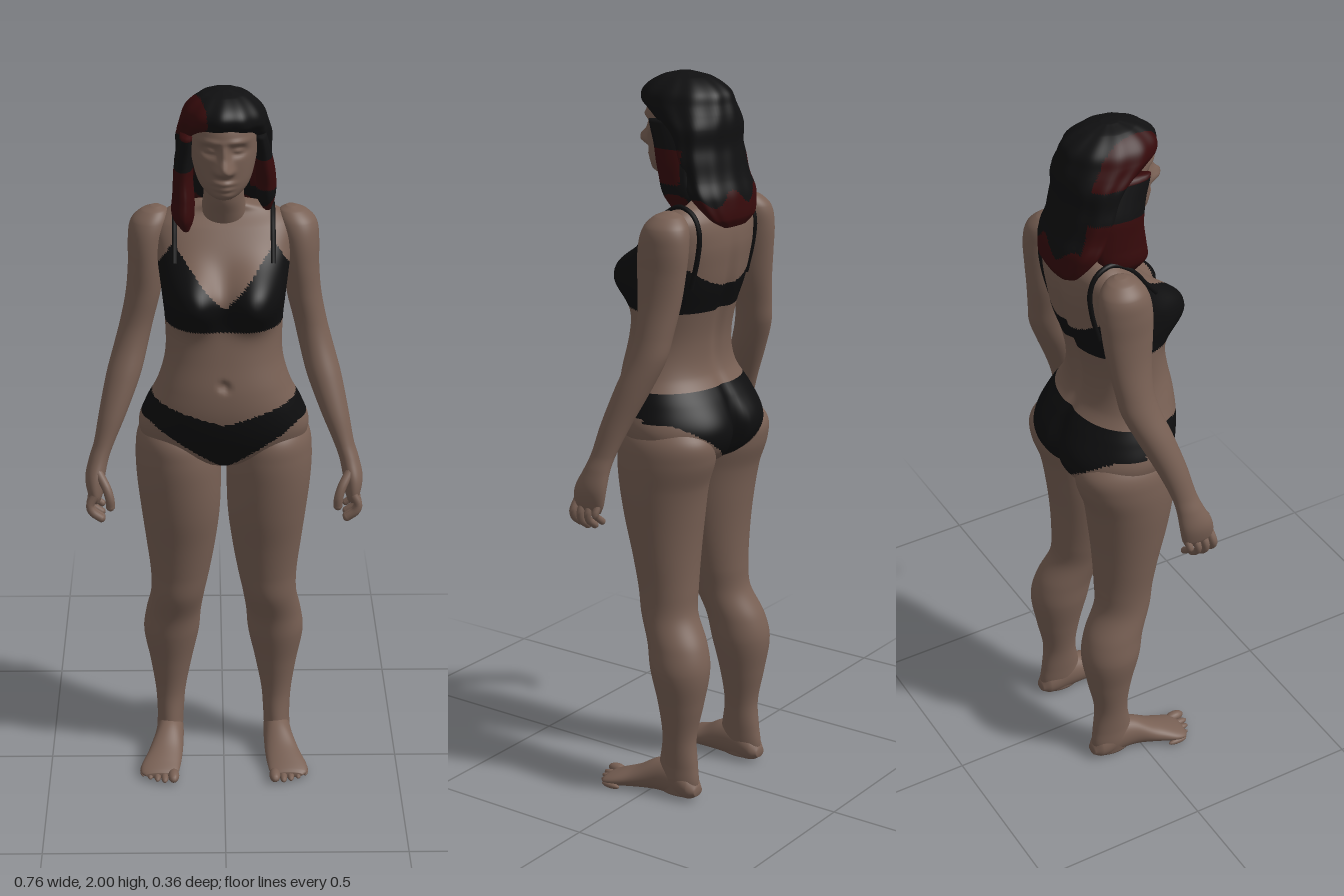
import * as THREE from 'three';

const mat = (name, color) => {
  const m = new THREE.MeshStandardMaterial({ color });
  m.name = name;
  return m;
};

// Smooth value of a section table [y, xCentre, xRadius, zFront, zBack] at height y
function sectionAt(secs, y) {
  const last = secs.length - 1;
  let i = 0;
  while (i < last - 1 && y > secs[i + 1][0]) i++;
  const slope = (k, c) => {
    const a = secs[Math.max(k - 1, 0)], b = secs[Math.min(k + 1, last)];
    return (b[c] - a[c]) / (b[0] - a[0]);
  };
  const h = secs[i + 1][0] - secs[i][0], t = (y - secs[i][0]) / h, t2 = t * t, t3 = t2 * t;
  return [1, 2, 3, 4].map((c) => (2 * t3 - 3 * t2 + 1) * secs[i][c] + (t3 - 2 * t2 + t) * h * slope(i, c)
    + (3 * t2 - 2 * t3) * secs[i + 1][c] + (t3 - t2) * h * slope(i + 1, c));
}

// Bumps [x, y, xSize, ySize, depth, side]: side 1 acts on the front, -1 on the back
function bumpDepth(bumps, x, y, facing) {
  let d = 0;
  for (const [bx, by, sx, sy, amount, side] of bumps) {
    if (facing * side <= 0) continue;
    const q = ((x - bx) / sx) ** 2 + ((y - by) / sy) ** 2;
    d += amount * Math.exp(-(q ** 1.25)) * Math.min(1, Math.abs(facing) * 2);
  }
  return d;
}

// Closed skin over rounded sections, listed from bottom to top
function loft(secs, { sides = 40, steps = 7, power = 2, bumps = [], ripple } = {}) {
  const rows = [[secs[0][0], 0]];
  for (let i = 0; i < secs.length - 1; i++)
    for (let k = 0; k < steps; k++) rows.push([secs[i][0] + (secs[i + 1][0] - secs[i][0]) * k / steps, 1]);
  const top = secs[secs.length - 1][0];
  rows.push([top, 1], [top, 0]);
  const pos = [], index = [];
  const round = (v) => Math.sign(v) * Math.abs(v) ** (2 / power);
  rows.forEach(([y, open], r) => {
    const [cx, rx, zf, zb] = sectionAt(secs, y);
    for (let j = 0; j < sides; j++) {
      const a = j / sides * Math.PI * 2, s = open * (ripple ? ripple(a, y) : 1);
      const x = cx + Math.max(rx, 0.002) * round(Math.cos(a)) * s;
      const z = (zf + zb) / 2 + (zf - zb) / 2 * round(Math.sin(a)) * s;
      pos.push(x, y, z + open * bumpDepth(bumps, x, y, Math.sin(a)));
      if (r === rows.length - 1) continue;
      const p = r * sides + j, q = r * sides + (j + 1) % sides;
      index.push(p, p + sides, q + sides, p, q + sides, q);
    }
  });
  const geo = new THREE.BufferGeometry();
  geo.setAttribute('position', new THREE.Float32BufferAttribute(pos, 3));
  geo.setIndex(index);
  geo.computeVertexNormals();
  return geo;
}

function add(group, name, geo, material) {
  const mesh = new THREE.Mesh(geo, material);
  mesh.name = name;
  group.add(mesh);
  return mesh;
}

// Split one skin into named meshes: regions are [name, material, test], the last takes the rest
function addSplit(group, geo, regions) {
  const p = geo.attributes.position, idx = geo.index.array;
  const lists = regions.map(() => []);
  for (let i = 0; i < idx.length; i += 3) {
    const t = [idx[i], idx[i + 1], idx[i + 2]];
    const mid = (f) => t.reduce((s, v) => s + f(v), 0) / 3;
    const x = mid((v) => p.getX(v)), y = mid((v) => p.getY(v)), z = mid((v) => p.getZ(v));
    lists[regions.findIndex(([, , test]) => !test || test(x, y, z))].push(...t);
  }
  regions.forEach(([name, material], k) => {
    if (!lists[k].length) return;
    const part = new THREE.BufferGeometry();
    part.setAttribute('position', p);
    part.setAttribute('normal', geo.attributes.normal);
    part.setIndex(lists[k]);
    add(group, name, part, material);
  });
}

// Outlines of the two garments
function inBriefs(x, y, z) {
  const s = Math.min(1, Math.abs(x) / 0.2);
  const top = z > -0.02 ? 1.115 + 0.055 * s : 1.165;
  const bottom = z > -0.02 ? 0.945 + 0.155 * s ** 0.8 : 0.945 + 0.145 * s;
  return y < top && y > bottom;
}
function inBra(x, y, z) {
  const a = Math.abs(x);
  if (z > -0.03) return y > 1.372 && y < 1.44 + 0.14 * Math.min(a / 0.13, 1) - Math.max(0, a - 0.14) * 1.6;
  return y > 1.375 && y < 1.445 + 0.07 * (a / 0.16) ** 2;
}

export function createModel() {
  const skin = mat('skin', 0x786054), cloth = mat('black fabric', 0x0e0e0f);
  const hairBlack = mat('black hair', 0x101011), hairRed = mat('red hair', 0x360a0b);
  const model = new THREE.Group();
  model.name = 'woman';

  // Torso with bra and briefs
  const torso = [
    [0.94, 0, 0.04, 0.02, -0.08], [0.965, 0, 0.11, 0.07, -0.13], [1.0, 0, 0.2, 0.105, -0.155],
    [1.06, 0, 0.232, 0.135, -0.165], [1.13, 0, 0.213, 0.152, -0.145], [1.2, 0, 0.18, 0.152, -0.108],
    [1.28, 0, 0.158, 0.138, -0.103], [1.37, 0, 0.158, 0.122, -0.12], [1.44, 0, 0.166, 0.105, -0.143],
    [1.5, 0, 0.174, 0.085, -0.153], [1.56, 0, 0.182, 0.06, -0.158], [1.62, 0, 0.18, 0.015, -0.15],
    [1.655, 0, 0.14, -0.02, -0.13], [1.68, 0, 0.06, -0.02, -0.11]];
  const torsoBumps = [[0, 1.225, 0.012, 0.014, -0.014, 1], [0, 1.35, 0.022, 0.17, 0.014, -1],
    [0, 1.03, 0.022, 0.09, 0.035, -1]];
  for (const s of [-1, 1]) torsoBumps.push([s * 0.088, 1.46, 0.075, 0.075, 0.085, 1], [s * 0.1, 1.04, 0.09, 0.09, -0.025, -1]);
  addSplit(model, loft(torso, { sides: 128, steps: 12, power: 2.25, bumps: torsoBumps }), [
    ['bra', cloth, inBra], ['briefs', cloth, inBriefs], ['torso', skin]]);

  // Neck
  add(model, 'neck', loft([[1.6, 0, 0.075, -0.01, -0.13], [1.66, 0, 0.062, 0.012, -0.118],
    [1.7, 0, 0.054, 0.028, -0.095], [1.77, 0, 0.054, 0.04, -0.085]]), skin);

  // Head with modelled features
  const face = [[0, 1.812, 0.02, 0.02, 0.036, 1], [0, 1.845, 0.012, 0.026, 0.016, 1],
    [0, 1.773, 0.026, 0.008, 0.011, 1], [0, 1.758, 0.022, 0.008, 0.01, 1], [0, 1.738, 0.024, 0.012, 0.008, 1]];
  for (const s of [-1, 1]) face.push([s * 0.037, 1.857, 0.024, 0.015, -0.014, 1], [s * 0.037, 1.857, 0.014, 0.007, 0.009, 1],
    [s * 0.036, 1.882, 0.028, 0.008, 0.006, 1], [s * 0.018, 1.806, 0.01, 0.01, 0.01, 1]);
  add(model, 'head', loft([
    [1.722, 0, 0.025, 0.08, 0.02], [1.735, 0, 0.045, 0.095, -0.01], [1.76, 0, 0.066, 0.103, -0.05],
    [1.8, 0, 0.08, 0.106, -0.085], [1.85, 0, 0.088, 0.108, -0.11], [1.9, 0, 0.086, 0.11, -0.115],
    [1.94, 0, 0.07, 0.088, -0.1], [1.975, 0, 0.03, 0.03, -0.04]], { sides: 96, steps: 12, bumps: face }), skin);

  // Hair: main body and one lock falling at each side
  const isRed = (x, y, z) => x < -0.045 - 0.25 * (0.1 - z) && (y > 1.87 || y < 1.78)
    || y < 1.685 + 0.02 * Math.sin(x * 50) || (x > 0.07 && z > -0.075 && y > 1.72 && y < 1.81);
  const strands = (a, y) => 1 + 0.018 * Math.sin(11 * a + 14 * y) + 0.012 * Math.sin(y * 75);
  const hair = [
    [1.605, 0, 0.05, -0.15, -0.17], [1.63, 0, 0.095, -0.125, -0.182], [1.68, 0, 0.125, -0.07, -0.18],
    [1.73, 0, 0.128, -0.03, -0.165], [1.8, 0, 0.127, 0.0, -0.15], [1.86, 0, 0.125, 0.03, -0.15],
    [1.895, 0, 0.12, 0.085, -0.148], [1.92, 0, 0.113, 0.118, -0.14], [1.955, 0, 0.095, 0.112, -0.122],
    [1.985, 0, 0.06, 0.07, -0.075], [1.998, 0, 0.018, 0.02, -0.025]];
  const locks = [
    [[1.655, 0.115, 0.01, -0.04, -0.07], [1.69, 0.112, 0.024, -0.01, -0.1], [1.74, 0.112, 0.027, 0.005, -0.1],
      [1.81, 0.104, 0.024, 0.025, -0.09], [1.88, 0.095, 0.015, 0.05, -0.05]],
    [[1.615, -0.1, 0.012, 0.02, -0.05], [1.65, -0.107, 0.03, 0.045, -0.09], [1.7, -0.106, 0.029, 0.04, -0.1],
      [1.78, -0.106, 0.025, 0.035, -0.09], [1.88, -0.095, 0.018, 0.06, -0.05]]];
  [hair, ...locks].forEach((secs, k) => addSplit(model,
    loft(secs, { sides: k ? 32 : 96, steps: 9, ripple: strands }),
    [[k ? 'redLock' : 'redHair', hairRed, isRed], [k ? 'blackLock' : 'blackHair', hairBlack]]));

  // Everything below is made for the left side, then mirrored
  const side = new THREE.Group();
  side.name = 'leftSide';

  // Bra strap laid over the shoulder
  const onTorso = (x, y, facing) => {
    const [, rx, zf, zb] = sectionAt(torso, y);
    const reach = Math.max(0, 1 - (x / rx) ** 2.25) ** (1 / 2.25);
    const z = (zf + zb) / 2 + facing * (zf - zb) / 2 * reach + bumpDepth(torsoBumps, x, y, facing * reach);
    return new THREE.Vector3(x, y, z + facing * 0.002);
  };
  const strapPath = [1.54, 1.58, 1.615, 1.645].map((y) => onTorso(0.13, y, 1));
  strapPath.push(new THREE.Vector3(0.13, 1.664, -0.075));
  strapPath.push(...[1.645, 1.6, 1.54, 1.45].map((y) => onTorso(0.13, y, -1)));
  add(side, 'braStrap', new THREE.TubeGeometry(new THREE.CatmullRomCurve3(strapPath), 48, 0.007, 8), cloth);

  // Leg
  addSplit(side, loft([
    [0.01, 0.157, 0.03, -0.03, -0.14], [0.05, 0.157, 0.037, -0.015, -0.15], [0.1, 0.155, 0.038, -0.027, -0.145],
    [0.18, 0.154, 0.043, -0.038, -0.138], [0.28, 0.152, 0.06, -0.025, -0.157], [0.38, 0.15, 0.079, -0.002, -0.172],
    [0.45, 0.143, 0.078, 0.012, -0.158], [0.53, 0.13, 0.076, 0.042, -0.118], [0.6, 0.123, 0.083, 0.053, -0.113],
    [0.7, 0.12, 0.097, 0.072, -0.116], [0.8, 0.12, 0.109, 0.095, -0.126], [0.9, 0.124, 0.116, 0.11, -0.142],
    [0.98, 0.127, 0.116, 0.115, -0.168], [1.04, 0.133, 0.1, 0.105, -0.165], [1.1, 0.14, 0.05, 0.05, -0.1]],
  { sides: 64, steps: 9 }), [['briefsLeg', cloth, inBriefs], ['leg', skin]]);

  // Foot, lofted from heel to toes, and its toes
  const foot = loft([
    [-0.153, 0.157, 0.018, -0.015, -0.04], [-0.13, 0.157, 0.034, -0.002, -0.075], [-0.08, 0.156, 0.038, 0, -0.105],
    [-0.02, 0.159, 0.042, -0.002, -0.098], [0.04, 0.17, 0.05, -0.001, -0.064], [0.09, 0.182, 0.056, 0, -0.043],
    [0.12, 0.185, 0.052, -0.002, -0.03], [0.132, 0.184, 0.04, -0.006, -0.022]]);
  add(side, 'foot', foot.rotateX(Math.PI / 2), skin);
  for (let i = 0; i < 5; i++) {
    const toe = add(side, 'toe', new THREE.SphereGeometry(1, 16, 10), skin);
    const r = i ? 0.0115 - i * 0.0006 : 0.016;
    toe.scale.set(r, r * 0.95, 0.03);
    toe.position.set(0.145 + i * 0.021 + (i ? 0.004 : 0), r, 0.135 - 0.0025 * i * i);
  }

  // Arm running into the palm
  add(side, 'arm', loft([
    [0.862, 0.35, 0.012, 0.1, 0.03], [0.885, 0.352, 0.021, 0.113, 0.02], [0.93, 0.352, 0.027, 0.108, 0.012],
    [0.98, 0.341, 0.027, 0.085, 0.008], [1.02, 0.327, 0.028, 0.071, 0.0], [1.1, 0.302, 0.038, 0.054, -0.03],
    [1.2, 0.272, 0.047, 0.025, -0.075], [1.28, 0.25, 0.046, -0.002, -0.108], [1.34, 0.235, 0.045, -0.012, -0.118],
    [1.42, 0.217, 0.047, -0.008, -0.13], [1.5, 0.208, 0.049, 0, -0.14], [1.57, 0.203, 0.053, 0, -0.145],
    [1.62, 0.195, 0.053, -0.012, -0.138], [1.648, 0.185, 0.036, -0.035, -0.115], [1.66, 0.18, 0.012, -0.06, -0.09]],
  { sides: 48 }), skin);

  // Fingers and thumb
  const finger = (name, radius, points) => {
    const curve = new THREE.CatmullRomCurve3(points.map((p) => new THREE.Vector3(...p)));
    add(side, name, new THREE.TubeGeometry(curve, 12, radius, 10), skin);
    add(side, name + 'Tip', new THREE.SphereGeometry(radius, 10, 8), skin).position.copy(curve.getPoint(1));
  };
  for (let i = 0; i < 4; i++) {
    const z = 0.104 - i * 0.024, drop = [0.006, 0, 0.004, 0.018][i];
    finger('finger', 0.0115 - 0.0006 * i, [[0.352, 0.89, z], [0.366, 0.862, z + 0.004],
      [0.36, 0.838 + drop, z + 0.006], [0.336, 0.818 + drop, z + 0.004]]);
  }
  finger('thumb', 0.0125, [[0.342, 0.95, 0.085], [0.32, 0.915, 0.11], [0.311, 0.885, 0.118], [0.31, 0.862, 0.116]]);

  const mirrored = side.clone();
  mirrored.name = 'rightSide';
  mirrored.scale.x = -1;
  model.add(side, mirrored);
  return model;
}
